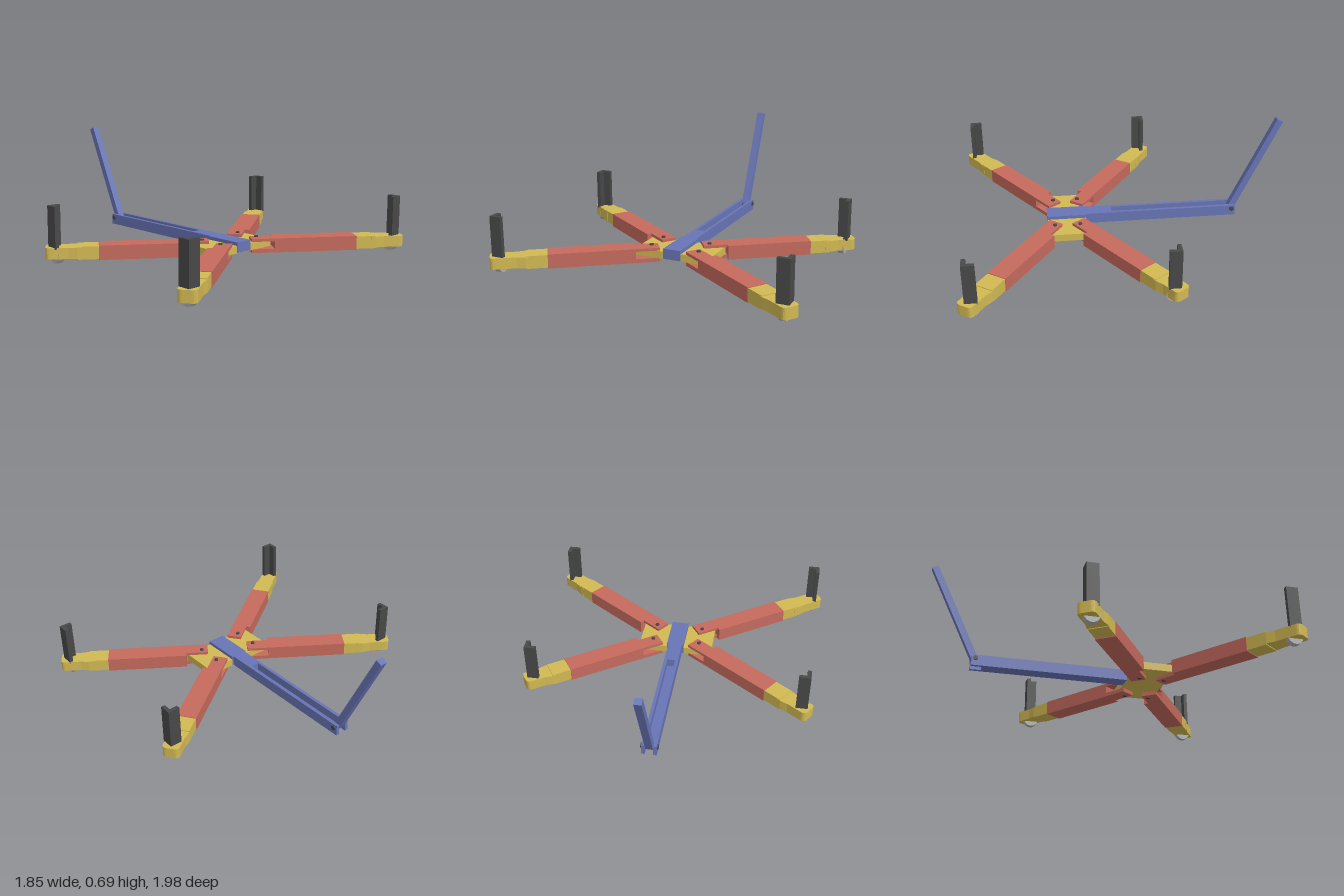
import * as THREE from 'three';

const mat = (color) => new THREE.MeshStandardMaterial({ color });
const RED = mat(0xc56a5d), YELLOW = mat(0xd2b953), BLUE = mat(0x6875b6), DARK = mat(0x484848), GREY = mat(0xb0b0b0);
const CX = 0.005, HUB_Z = 0.343, TILT = 35 * Math.PI / 180;

function mesh(parent, name, geometry, material) {
  const m = new THREE.Mesh(geometry, material);
  m.name = name;
  parent.add(m);
  return m;
}

// Box given by its minimum and maximum on each axis
function box(parent, name, material, x, y, z) {
  const m = mesh(parent, name, new THREE.BoxGeometry(Math.abs(x[1] - x[0]), y[1] - y[0], Math.abs(z[1] - z[0])), material);
  m.position.set((x[0] + x[1]) / 2, (y[0] + y[1]) / 2, (z[0] + z[1]) / 2);
  return m;
}

// Plan outline in x/z raised from y0 to y1
function slab(parent, name, material, shape, y0, y1) {
  const g = new THREE.ExtrudeGeometry(shape, { depth: y1 - y0, bevelEnabled: false, curveSegments: 5 });
  g.rotateX(-Math.PI / 2).translate(0, y0, 0);
  return mesh(parent, name, g, material);
}

// Foot outline: wide at the arm, narrowing to a rounded end
function footShape(from, to) {
  const s = new THREE.Shape(), w = 0.06, n = 0.051, r = 0.028;
  s.moveTo(from, -w);
  s.lineTo(from + 0.03, -w);
  s.lineTo(from + 0.08, -n);
  s.lineTo(to - r, -n);
  s.quadraticCurveTo(to, -n, to, -n + r);
  s.lineTo(to, n - r);
  s.quadraticCurveTo(to, n, to - r, n);
  s.lineTo(from + 0.08, n);
  s.lineTo(from + 0.03, w);
  s.lineTo(from, w);
  s.closePath();
  return s;
}

// One swinging arm with fork, pivot pin and sliding foot
function addArm(root, sx, sz, reach) {
  const arm = new THREE.Group();
  arm.name = (sz > 0 ? 'front' : 'back') + (sx > 0 ? 'Left' : 'Right') + 'Arm';
  arm.position.set(CX + sx * 0.084, 0, HUB_Z + sz * 0.107);
  arm.rotation.y = Math.atan2(-sz * Math.sin(TILT), sx * Math.cos(TILT));
  root.add(arm);
  const f = -sx * sz;
  box(arm, 'armBeam', RED, [0.14, 0.645], [0.022, 0.107], [0, f * 0.122]);
  box(arm, 'forkTop', RED, [0, 0.14], [0.09, 0.107], [0, f * 0.093]);
  box(arm, 'forkBottom', RED, [0, 0.14], [0.022, 0.045], [0, f * 0.093]);
  const pin = mesh(arm, 'pivotPin', new THREE.CylinderGeometry(0.012, 0.012, 0.098, 16), DARK);
  pin.position.set(0.039, 0.066, f * 0.064);
  box(arm, 'footSlide', YELLOW, [0.63, 0.765], [0.027, 0.103], [f * 0.003, f * 0.119]);
  slab(arm, 'footPad', YELLOW, footShape(0.74, 0.645 + reach), 0.032, 0.098).position.z = f * 0.061;
}

// Upright angle bracket, its corner pointing outward, over a small wheel
function addPost(root, sx, sz, x, z) {
  const post = new THREE.Group();
  post.name = (sz > 0 ? 'front' : 'back') + (sx > 0 ? 'Left' : 'Right') + 'Post';
  post.position.set(x, 0, z);
  root.add(post);
  const h = 0.036, t = 0.024;
  const s = new THREE.Shape();
  const pts = [[h, h], [-h, h], [-h, h - t], [h - t, h - t], [h - t, -h], [h, -h]]
    .map(([a, b]) => new THREE.Vector2(a * sx, -b * sz));
  s.setFromPoints(pts);
  slab(post, 'angleBracket', DARK, s, 0.09, 0.338);
  const wheel = mesh(post, 'wheel', new THREE.CylinderGeometry(0.046, 0.046, 0.036, 24), GREY);
  wheel.rotation.z = Math.PI / 2;
  wheel.position.y = 0.046;
}

export function createModel() {
  const root = new THREE.Group();
  root.name = 'wheeledDolly';

  // Hub plate between the forks
  box(root, 'hubPlate', YELLOW, [CX - 0.238, CX + 0.238], [0.045, 0.09], [0.223, 0.46]);

  // Arms and posts: side signs, foot reach, post position
  for (const [sx, sz, reach, x, z] of [
    [-1, 1, 0.325, -0.858, 0.918], [1, 1, 0.302, 0.847, 0.902],
    [-1, -1, 0.305, -0.842, -0.215], [1, -1, 0.287, 0.836, -0.204],
  ]) {
    addArm(root, sx, sz, reach);
    addPost(root, sx, sz, x, z);
  }

  // Draw bar: solid near the hub, then an open channel ending in a fork
  const bar = new THREE.Group();
  bar.name = 'drawBar';
  bar.position.x = CX;
  root.add(bar);
  box(bar, 'barClamp', BLUE, [-0.055, 0.055], [0.048, 0.111], [0.221, 0.464]);
  box(bar, 'barBlock', BLUE, [-0.045, 0.045], [0.045, 0.111], [0.06, 0.221]);
  box(bar, 'channelFloor', BLUE, [-0.025, 0.025], [0.045, 0.06], [-0.66, 0.06]);
  for (const s of [-1, 1]) box(bar, 'channelWall', BLUE, [s * 0.025, s * 0.045], [0.045, 0.111], [-0.727, 0.06]);
  const bolt = mesh(bar, 'hingeBolt', new THREE.CylinderGeometry(0.014, 0.014, 0.106, 16), DARK);
  bolt.rotation.z = Math.PI / 2;
  bolt.position.set(0, 0.09, -0.703);

  // Handle leaning back from the hinge
  const handle = new THREE.Group();
  handle.name = 'handle';
  handle.position.set(0, 0.09, -0.703);
  handle.rotation.x = -25 * Math.PI / 180;
  bar.add(handle);
  box(handle, 'handleBar', BLUE, [-0.022, 0.022], [0, 0.648], [-0.02, 0.02]);
  const knuckle = mesh(handle, 'handleKnuckle', new THREE.CylinderGeometry(0.02, 0.02, 0.044, 20), BLUE);
  knuckle.rotation.z = Math.PI / 2;

  return root;
}
